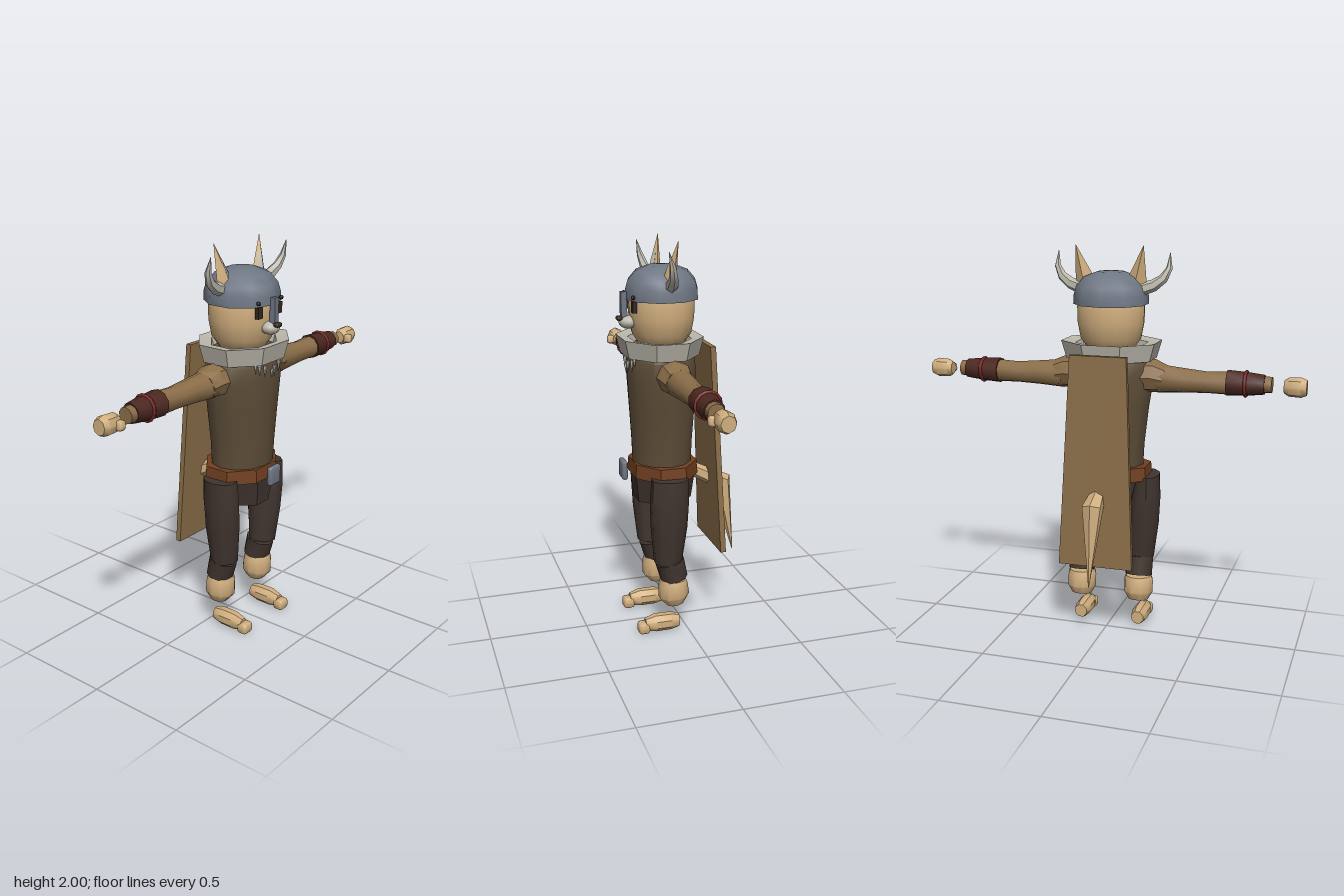
import * as THREE from 'three';
import { toCreasedNormals } from 'three/addons/utils/BufferGeometryUtils.js';
import { RoundedBoxGeometry } from 'three/addons/geometries/RoundedBoxGeometry.js';

const mat = (name, color) => {
  const m = new THREE.MeshStandardMaterial({ color });
  m.name = name;
  return m;
};

// Closed loft through rings [x, y, z, ra, rb]; hint sets the ring orientation
function loft(rings, sides = 10, hint = [0, 0, 1], turn = 0) {
  const c = rings.map((r) => new THREE.Vector3(r[0], r[1], r[2]));
  const h = new THREE.Vector3(...hint);
  const pos = [], idx = [], last = rings.length - 1;
  rings.forEach((r, i) => {
    const t = c[Math.min(i + 1, last)].clone().sub(c[Math.max(i - 1, 0)]).normalize();
    const u = h.clone().cross(t).normalize();
    const v = t.clone().cross(u);
    for (let j = 0; j < sides; j++) {
      const a = (j / sides) * Math.PI * 2 + turn;
      const p = c[i].clone().addScaledVector(u, Math.cos(a) * r[3]).addScaledVector(v, Math.sin(a) * (r[4] ?? r[3]));
      pos.push(p.x, p.y, p.z);
    }
  });
  pos.push(...c[0].toArray(), ...c[last].toArray());
  const start = rings.length * sides;
  for (let j = 0; j < sides; j++) {
    const k = (j + 1) % sides;
    for (let i = 0; i < last; i++) {
      const a = i * sides, b = a + sides;
      idx.push(a + j, a + k, b + k, a + j, b + k, b + j);
    }
    idx.push(start, k, j, start + 1, last * sides + j, last * sides + k);
  }
  const g = new THREE.BufferGeometry();
  g.setAttribute('position', new THREE.Float32BufferAttribute(pos, 3));
  g.setIndex(idx);
  return g;
}

// Lathe profile [radius, y], stretched in z and moved to the body axis
function lathe(points, sides, zScale = 1, z = 0, turn = 0) {
  const g = new THREE.LatheGeometry(points.map((p) => new THREE.Vector2(p[0], p[1])), sides);
  return g.rotateY(turn).scale(1, 1, zScale).translate(0, 0, z);
}

export function createModel() {
  const fur = mat('fur', 0xd0ae7e), sleeve = mat('tan cloth', 0x8b6e49), vest = mat('vest brown', 0x5d4d38);
  const trouser = mat('trouser brown', 0x40342f), leather = mat('belt leather', 0x703f20);
  const bracer = mat('bracer leather', 0x4c2821), red = mat('red cord', 0x7c2a28);
  const steel = mat('steel', 0x6f7784), bone = mat('bone', 0xbcb8ac), dark = mat('dark', 0x35281f);

  const model = new THREE.Group();
  model.name = 'hornedWarrior';
  const add = (name, geometry, material, crease = 0.75) => {
    const m = new THREE.Mesh(toCreasedNormals(geometry, crease), material);
    m.name = name;
    model.add(m);
    return m;
  };
  const box = (w, h, d, x, y, z) => new THREE.BoxGeometry(w, h, d).translate(x, y, z);
  const rbox = (w, h, d, x, y, z, r) => new RoundedBoxGeometry(w, h, d, 2, r).translate(x, y, z);

  // Head and helmet
  add('head', lathe([[0, 1.47], [0.12, 1.49], [0.155, 1.54], [0.17, 1.62], [0.172, 1.7], [0.15, 1.8], [0, 1.85]], 16, 0.95, 0.085), fur, 1);
  add('helmet', lathe([[0.165, 1.715], [0.19, 1.71], [0.188, 1.755], [0.175, 1.8], [0.135, 1.845], [0.07, 1.87], [0, 1.875]], 10, 0.98, 0.083), steel);
  add('helmetInside', lathe([[0, 1.72], [0.165, 1.715]], 10, 0.98, 0.083).scale(1, 1, 1), steel).material.side = THREE.FrontSide;
  add('noseGuard', box(0.03, 0.145, 0.03, 0, 1.677, 0.275), steel);
  add('muzzle', new THREE.SphereGeometry(1, 10, 8).scale(0.05, 0.033, 0.045).translate(0, 1.6, 0.255), bone, 1);
  add('nose', rbox(0.04, 0.022, 0.03, 0, 1.62, 0.297, 0.008), dark);

  // Torso, collar and belt
  add('vest', loft([[0, 0.83, 0.088, 0.17, 0.148], [0, 1.0, 0.088, 0.178, 0.155], [0, 1.19, 0.087, 0.2, 0.167],
    [0, 1.34, 0.09, 0.222, 0.172], [0, 1.42, 0.09, 0.215, 0.168], [0, 1.48, 0.09, 0.17, 0.14]], 12), vest);
  add('collar', lathe([[0.235, 1.435], [0.262, 1.525], [0.19, 1.515], [0.17, 1.45], [0.235, 1.435]], 8, 0.82, 0.095, Math.PI / 8), bone, 0.3);
  add('belt', loft([[0, 0.82, 0.083, 0.222, 0.176], [0, 0.89, 0.083, 0.215, 0.17]], 8, [0, 0, 1], Math.PI / 8), leather, 0.3);
  add('buckle', rbox(0.088, 0.1, 0.03, 0, 0.85, 0.288, 0.014), steel);
  add('hips', loft([[0, 0.68, 0.083, 0.125, 0.15], [0, 0.83, 0.083, 0.172, 0.168]], 8, [0, 0, 1], Math.PI / 8), trouser, 0.3);

  // Tooth necklace
  [[-0.105, 1.425], [-0.08, 1.41], [-0.045, 1.4], [0, 1.385], [0.025, 1.395], [0.07, 1.405], [0.1, 1.425]].forEach(([x, y], i) => {
    const len = 0.045 + (i % 3) * 0.01;
    add('tooth', new THREE.ConeGeometry(0.011, len, 5).rotateX(Math.PI).translate(x, y - 0.012, 0.268 - Math.abs(x) * 0.18), bone);
  });

  // Cape: a tapered leaning slab
  const cape = new THREE.BoxGeometry(1, 1.07, 0.028).translate(0, 0.945, 0);
  const p = cape.attributes.position;
  for (let i = 0; i < p.count; i++) {
    const low = p.getY(i) < 0.9;
    p.setX(i, p.getX(i) * (low ? 0.385 : 0.29));
    p.setZ(i, p.getZ(i) - (low ? 0.187 : 0.137));
  }
  add('cape', cape, sleeve, 0.3);

  // Tail
  add('tail', loft([[0, 0.825, -0.06, 0.035, 0.025], [0, 0.735, -0.235, 0.055, 0.055], [0, 0.34, -0.305, 0.002, 0.002]], 6, [1, 0, 0]), fur, 0.3);

  // Mirrored parts
  for (const s of [1, -1]) {
    const side = (rings) => rings.map(([x, ...rest]) => [s * x, ...rest]);
    const limb = (name, rings, m, sides = 10) => add(name, loft(side(rings), sides), m);

    // Face, ear and horn
    add('eye', box(0.036, 0.055, 0.02, s * 0.077, 1.683, 0.243), dark);
    add('helmetStud', new THREE.SphereGeometry(0.011, 6, 5).translate(s * 0.09, 1.73, 0.25), dark);
    add('ear', loft(side([[0.125, 1.79, 0.085, 0.06, 0.035], [0.14, 1.85, 0.075, 0.044, 0.028], [0.174, 2.0, 0.05, 0.001, 0.001]]), 4), fur, 0.3);
    add('innerEar', loft(side([[0.13, 1.82, 0.096, 0.03, 0.014], [0.143, 1.88, 0.081, 0.022, 0.014], [0.169, 1.965, 0.059, 0.001, 0.001]]), 4), bone, 0.3);
    limb('horn', [[0.15, 1.785, 0.08, 0.034, 0.032], [0.215, 1.805, 0.09, 0.03, 0.028], [0.263, 1.84, 0.1, 0.024, 0.022],
      [0.29, 1.89, 0.112, 0.016, 0.016], [0.29, 1.965, 0.13, 0.001, 0.001]], bone, 6);

    // Arm
    limb('shoulder', [[0.16, 1.355, 0.08, 0.085, 0.09], [0.23, 1.357, 0.08, 0.084, 0.085], [0.285, 1.345, 0.077, 0.07, 0.072]], sleeve, 8);
    limb('sleeve', [[0.25, 1.345, 0.076, 0.073, 0.072], [0.38, 1.343, 0.074, 0.062, 0.063], [0.5, 1.34, 0.073, 0.054, 0.056], [0.62, 1.342, 0.073, 0.058, 0.058]], sleeve);
    limb('bracer', [[0.6, 1.343, 0.073, 0.065, 0.066], [0.7, 1.343, 0.075, 0.059, 0.06], [0.785, 1.343, 0.077, 0.049, 0.05]], bracer);
    add('bracerCord', new THREE.TorusGeometry(0.06, 0.009, 6, 14).rotateY(Math.PI / 2).translate(s * 0.693, 1.343, 0.075), red, 1.2);
    limb('cuff', [[0.77, 1.343, 0.08, 0.042, 0.042], [0.82, 1.343, 0.08, 0.04, 0.04]], sleeve);
    limb('hand', [[0.878, 1.337, 0.085, 0.032, 0.03], [0.9, 1.337, 0.085, 0.047, 0.042], [0.96, 1.337, 0.085, 0.05, 0.046], [0.988, 1.337, 0.085, 0.038, 0.036]], fur, 8);
    add('thumb', rbox(0.042, 0.046, 0.045, s * 0.902, 1.332, 0.125, 0.014), fur, 1);

    // Leg
    limb('thigh', [[0.16, 0.385, 0.102, 0.07, 0.072], [0.175, 0.58, 0.1, 0.081, 0.094], [0.185, 0.72, 0.1, 0.078, 0.1], [0.19, 0.838, 0.098, 0.067, 0.095]], trouser);
    limb('shin', [[0.158, 0.29, 0.068, 0.072, 0.07], [0.158, 0.385, 0.092, 0.072, 0.075]], trouser);
    limb('hock', [[0.157, 0.152, 0.062, 0.052, 0.05], [0.157, 0.195, 0.07, 0.077, 0.08], [0.157, 0.26, 0.074, 0.078, 0.075], [0.157, 0.285, 0.074, 0.068, 0.066]], fur);
    add('foot', loft(side([[0.158, 0.048, 0.045, 0.034, 0.036], [0.158, 0.048, 0.09, 0.044, 0.046], [0.158, 0.048, 0.17, 0.044, 0.047],
      [0.158, 0.044, 0.222, 0.03, 0.034]]), 8, [0, 1, 0], Math.PI / 8), fur);
    add('toe', rbox(0.07, 0.058, 0.06, s * 0.158, 0.03, 0.232, 0.018), fur, 1);
  }
  return model;
}
